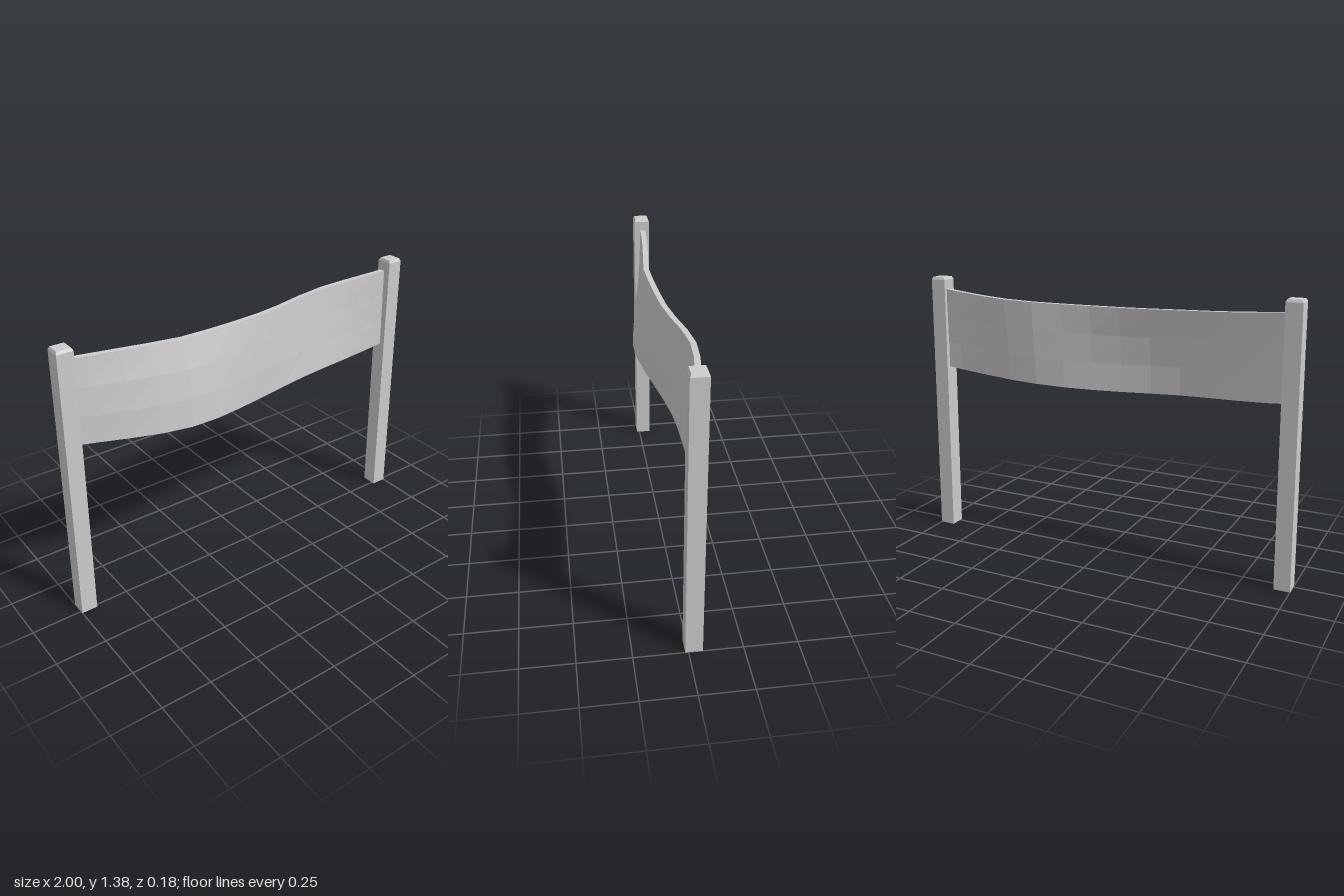
import * as THREE from 'three';

// Edge curves of the cloth: back z along the top, front z along the bottom
const X = [-0.93, -0.825, -0.675, -0.525, -0.375, -0.225, -0.075, 0.075, 0.225, 0.375, 0.525, 0.675, 0.825, 0.93];
const TOP_BACK = [-0.046, -0.041, -0.03, -0.014, 0, -0.006, -0.015, -0.026, -0.048, -0.076, -0.09, -0.08, -0.059, -0.044];
const BOTTOM_FRONT = [-0.014, 0.004, 0.038, 0.07, 0.087, 0.079, 0.056, 0.03, 0.006, -0.011, -0.017, -0.016, -0.015, -0.015];
const THICK = 0.027;

const POST_HEIGHT = 1.38, SHOULDER = 1.367, POST_Z = -0.025;

// Square post leaning inwards, with a chamfered top
function makePost(side, material) {
  const geo = new THREE.BoxGeometry(0.08, 2, 0.08, 1, 2, 1);
  const p = geo.attributes.position;
  for (let i = 0; i < p.count; i++) {
    const level = Math.round(p.getY(i)) + 1; // 0 foot, 1 shoulder, 2 top
    const y = [0, SHOULDER, POST_HEIGHT][level];
    const inset = level === 2 ? 0.84 : 1;
    const lean = 0.96 - 0.02 * y / POST_HEIGHT;
    p.setXYZ(i, side * lean + p.getX(i) * inset, y, POST_Z + p.getZ(i) * inset);
  }
  geo.computeVertexNormals();
  return new THREE.Mesh(geo, material);
}

// Sagging, billowing cloth: a thin segmented slab moved onto the edge curves
function makeBanner(material) {
  const cols = X.length - 1;
  const geo = new THREE.BoxGeometry(cols, 1, 1, cols, 3, 1);
  const p = geo.attributes.position;
  for (let i = 0; i < p.count; i++) {
    const c = Math.round(p.getX(i) + cols / 2);
    const v = p.getY(i) + 0.5; // 0 bottom, 1 top
    const x = X[c];
    const sag = (x / 0.9) ** 2;
    const y = THREE.MathUtils.lerp(0.853 + 0.05 * sag, 1.28 + 0.038 * sag, v);
    const bow = 0.012 * Math.sin(Math.PI * v) * Math.max(0, Math.cos((x + 0.37) * 2.2));
    const back = THREE.MathUtils.lerp(BOTTOM_FRONT[c] - THICK, TOP_BACK[c], v) + bow;
    p.setXYZ(i, x, y, back + (p.getZ(i) + 0.5) * THICK);
  }
  geo.computeVertexNormals();
  return new THREE.Mesh(geo, material);
}

export function createModel() {
  const group = new THREE.Group();
  group.name = 'bannerOnPosts';
  const grey = new THREE.MeshStandardMaterial({ color: 0xcccccc, flatShading: true });
  grey.name = 'lightGrey';

  for (const [name, side] of [['leftPost', 1], ['rightPost', -1]]) {
    const post = makePost(side, grey);
    post.name = name;
    group.add(post);
  }
  const banner = makeBanner(grey);
  banner.name = 'banner';
  group.add(banner);
  return group;
}
